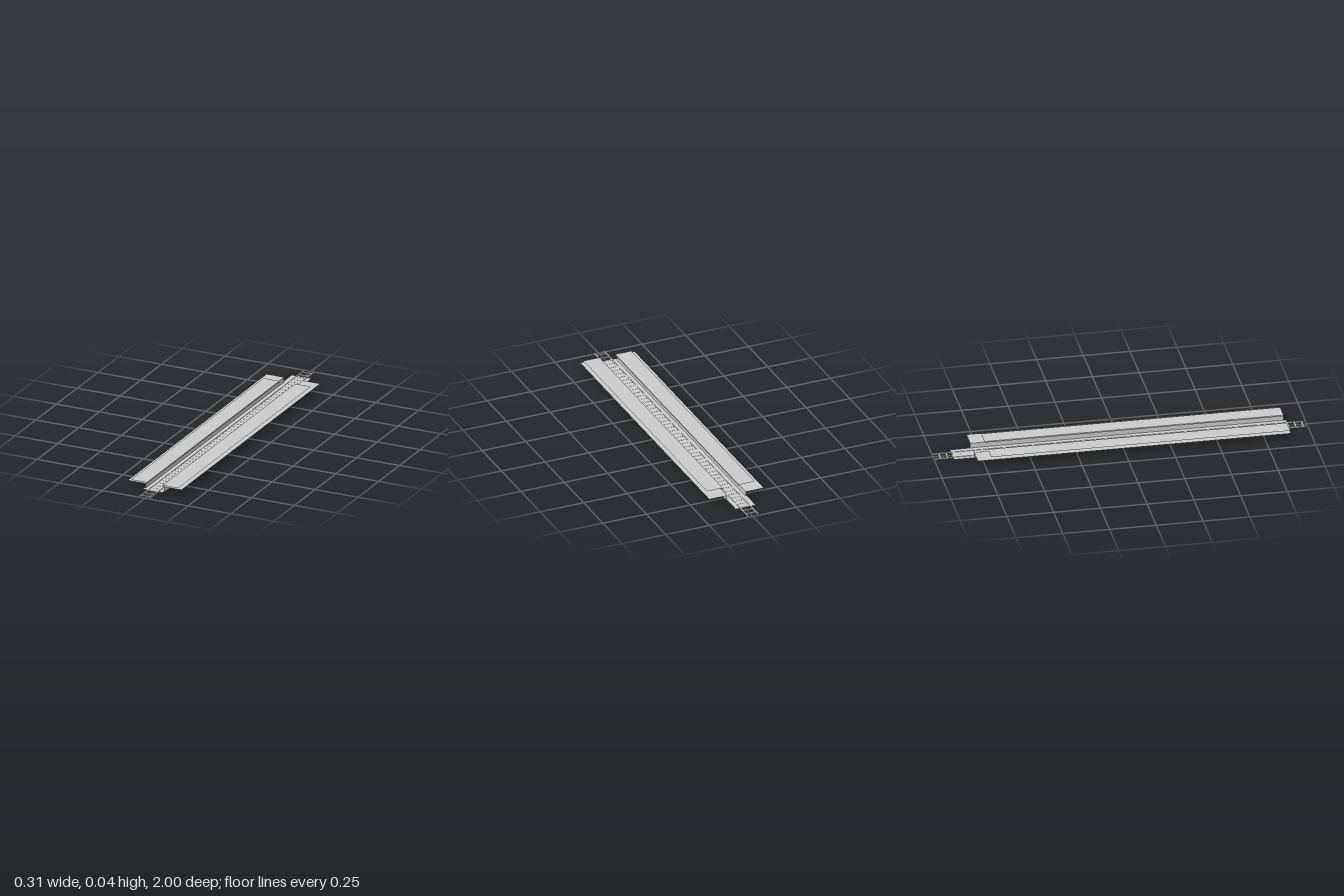
import * as THREE from 'three';

const grey = new THREE.MeshStandardMaterial({ color: 0xcccccc, side: THREE.DoubleSide });

function add(parent, name, geometry, x, y, z) {
  const mesh = new THREE.Mesh(geometry, grey);
  mesh.name = name;
  mesh.position.set(x, y, z);
  parent.add(mesh);
  return mesh;
}

// Horizontal sheet facing up
function sheet(parent, name, x0, x1, z0, z1, y) {
  const g = new THREE.PlaneGeometry(Math.abs(x1 - x0), z1 - z0).rotateX(-Math.PI / 2);
  return add(parent, name, g, (x0 + x1) / 2, y, (z0 + z1) / 2);
}

// Upright sheet running along z, facing the track
function wall(parent, name, x, y0, y1, z0, z1) {
  const g = new THREE.PlaneGeometry(z1 - z0, y1 - y0).rotateY(-Math.sign(x) * Math.PI / 2);
  return add(parent, name, g, x, (y0 + y1) / 2, (z0 + z1) / 2);
}

export function createModel() {
  const model = new THREE.Group();
  model.name = 'railwayPlatforms';

  // Track: two rails joined by evenly spaced sleepers
  const track = new THREE.Group();
  track.name = 'track';
  track.position.x = -0.004;
  model.add(track);
  for (const s of [-1, 1]) {
    add(track, s > 0 ? 'leftRail' : 'rightRail', new THREE.BoxGeometry(0.007, 0.008, 2), s * 0.029, 0.004, 0);
  }
  const sleeper = new THREE.BoxGeometry(0.052, 0.0062, 0.011);
  for (let i = 0; i <= 50; i++) add(track, 'sleeper', sleeper, 0, 0.0031, -0.965 + i * 0.0388);

  // Thin track bed
  sheet(model, 'trackBed', -0.062, 0.054, -0.9, 0.9, 0.0055);

  // Platforms: wide lower deck, narrower raised deck, and edge walls
  const back = -0.79, front = 0.885, step = -0.715;
  for (const s of [-1, 1]) {
    const platform = new THREE.Group();
    platform.name = s > 0 ? 'leftPlatform' : 'rightPlatform';
    model.add(platform);
    sheet(platform, 'lowerDeck', s * 0.054, s * 0.157, back, front, 0.033);
    sheet(platform, 'raisedDeck', s * 0.046, s * 0.138, step, front, 0.04);
    wall(platform, 'platformWall', s * 0.054, 0, 0.033, back, front);
    wall(platform, 'edgeLip', s * 0.046, 0.033, 0.04, step, front);
  }
  return model;
}
